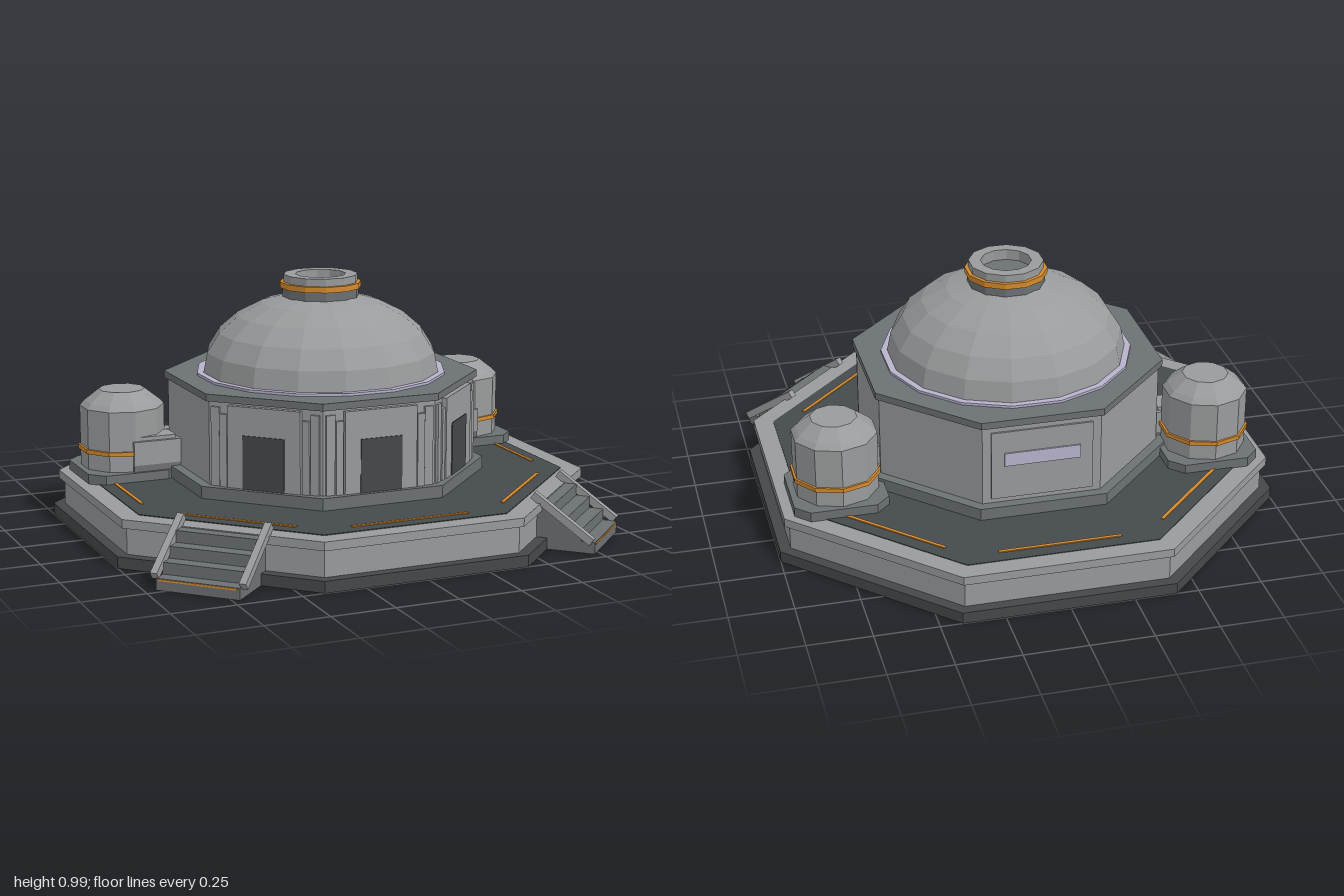
import * as THREE from 'three';

const mat = (name, color) => {
  const m = new THREE.MeshStandardMaterial({ color, flatShading: true });
  m.name = name;
  return m;
};

export function createModel() {
  const light = mat('light grey', 0x999b9c);
  const mid = mat('mid grey', 0x6c7173);
  const deckGrey = mat('deck grey', 0x454b4c);
  const dark = mat('dark grey', 0x454849);
  const doorGrey = mat('door grey', 0x444849);
  const orange = mat('orange', 0xd48a2e);
  const lavender = mat('lavender', 0xb8b3cc);

  const root = new THREE.Group();
  root.name = 'domedStation';

  const add = (parent, name, geo, material, x = 0, y = 0, z = 0) => {
    const m = new THREE.Mesh(geo, material);
    m.name = name;
    m.position.set(x, y, z);
    parent.add(m);
    return m;
  };
  // box given by its limits
  const box = (parent, name, material, x0, x1, y0, y1, z0, z1) =>
    add(parent, name, new THREE.BoxGeometry(x1 - x0, y1 - y0, z1 - z0), material,
      (x0 + x1) / 2, (y0 + y1) / 2, (z0 + z1) / 2);
  // octagonal slab with flat sides facing the axes
  const octagon = (name, material, apothem, y0, y1) => {
    const r = apothem / Math.cos(Math.PI / 8);
    const geo = new THREE.CylinderGeometry(r, r, y1 - y0, 8).rotateY(Math.PI / 8);
    return add(root, name, geo, material, 0, (y0 + y1) / 2, 0);
  };
  const lathe = (parent, name, material, pts, sides, phase = 0) =>
    add(parent, name, new THREE.LatheGeometry(pts.map(p => new THREE.Vector2(...p)), sides, phase), material);
  // group turned so that its +z points out of octagon side k
  const side = (name, k) => {
    const g = new THREE.Group();
    g.name = name;
    g.rotation.y = k * Math.PI / 4;
    root.add(g);
    return g;
  };

  // platform
  octagon('platformFoot', dark, 1.0, 0, 0.045);
  octagon('platformWall', light, 0.957, 0.045, 0.15);
  octagon('platformRim', light, 0.977, 0.15, 0.184);
  octagon('deck', deckGrey, 0.9, 0.17, 0.187);
  for (let k = 0; k < 8; k++)
    box(side('deckMarking', k), 'deckStripe', orange, -0.24, 0.24, 0.184, 0.191, 0.834, 0.848);

  // main building
  octagon('plinth', mid, 0.605, 0.185, 0.235);
  octagon('buildingWall', light, 0.565, 0.235, 0.565);
  octagon('roofSlab', mid, 0.579, 0.565, 0.593);

  // three entrances with frames and stepped pilasters
  for (const k of [-1, 0, 1]) {
    const g = side('entrance', k);
    box(g, 'doorFrame', light, -0.15, 0.15, 0.235, 0.556, 0.55, 0.584);
    box(g, 'door', doorGrey, -0.086, 0.086, 0.235, 0.445, 0.582, 0.588);
    for (const s of [-1, 1]) {
      add(g, 'innerPilaster', new THREE.BoxGeometry(0.03, 0.285, 0.03), light, s * 0.17, 0.3775, 0.565);
      add(g, 'outerPilaster', new THREE.BoxGeometry(0.035, 0.31, 0.03), light, s * 0.205, 0.39, 0.56);
    }
  }

  // rear panel and window
  const rear = side('rearWall', 4);
  box(rear, 'rearPanel', light, -0.2, 0.2, 0.255, 0.54, 0.55, 0.573);
  box(rear, 'rearWindow', lavender, -0.15, 0.15, 0.395, 0.45, 0.572, 0.579);

  // dome and its base ring
  const half = Math.PI / 16;
  add(root, 'domeRing', new THREE.CylinderGeometry(0.5, 0.5, 0.01, 16).rotateY(half), lavender, 0, 0.598, 0);
  const dome = [];
  for (let i = 0; i <= 6; i++) {
    const a = i / 6 * Math.PI / 2;
    dome.push([Math.max(0.475 * Math.cos(a), 0.001), 0.6 + 0.315 * Math.sin(a)]);
  }
  lathe(root, 'dome', light, dome, 16, half);

  // hollow vent on top
  const turn = Math.PI / 12;
  lathe(root, 'ventNeck', mid, [[0.153, 0.87], [0.153, 0.935]], 12, turn);
  lathe(root, 'ventBand', orange,
    [[0.145, 0.932], [0.163, 0.932], [0.163, 0.955], [0.145, 0.955]], 12, turn);
  lathe(root, 'ventCap', light,
    [[0.148, 0.95], [0.148, 0.985], [0.1, 0.985], [0.1, 0.94]], 12, turn);
  add(root, 'ventFloor', new THREE.CylinderGeometry(0.11, 0.11, 0.02, 12).rotateY(turn), mid, 0, 0.932, 0);

  // storage tanks on chamfered pads
  const h = 0.185, c = 0.055;
  const padShape = new THREE.Shape([[h, c - h], [h, h - c], [h - c, h], [c - h, h],
    [-h, h - c], [-h, c - h], [c - h, -h], [h - c, -h]].map(p => new THREE.Vector2(...p)));
  for (const s of [-1, 1]) {
    const tank = new THREE.Group();
    tank.name = s > 0 ? 'leftTank' : 'rightTank';
    tank.position.set(s * 0.75, 0, -0.268);
    root.add(tank);
    const pad = new THREE.ExtrudeGeometry(padShape, { depth: 0.04, bevelEnabled: false }).rotateX(-Math.PI / 2);
    add(tank, 'tankPad', pad, mid, 0, 0.183, 0);
    lathe(tank, 'tankBody', light,
      [[0.168, 0.22], [0.168, 0.465], [0.15, 0.485], [0.092, 0.53], [0.001, 0.53]], 10);
    lathe(tank, 'tankBand', orange,
      [[0.16, 0.288], [0.177, 0.288], [0.177, 0.305], [0.16, 0.305]], 10);
    // duct joining the tank to the building
    const x0 = Math.min(s * 0.56, s * 0.76), x1 = Math.max(s * 0.56, s * 0.76);
    box(root, 'ductFoot', mid, x0, x1, 0.222, 0.25, -0.21, -0.095);
    box(root, 'duct', light, x0, x1, 0.25, 0.345, -0.22, -0.09);
    box(root, 'ductTop', light, x0 + 0.02, x1 - 0.02, 0.345, 0.36, -0.205, -0.105);
  }

  // stairs with sloping side rails
  for (const k of [-1, 1]) {
    const g = side(k > 0 ? 'leftStairs' : 'rightStairs', k);
    for (let i = 0; i < 4; i++) {
      const z1 = 1.188 - i * 0.055;
      box(g, 'step', mid, -0.165, 0.165, 0, 0.045 * (i + 1), i < 3 ? z1 - 0.055 : 0.94, z1);
    }
    box(g, 'stepEdge', orange, -0.155, 0.155, 0.036, 0.043, 1.185, 1.191);
    const z0 = 0.945, z1 = 1.18, y0 = 0.215, y1 = 0.05;
    for (const s of [-1, 1]) {
      const rail = add(g, 'stairRail', new THREE.BoxGeometry(0.028, 0.03, Math.hypot(z1 - z0, y0 - y1)),
        light, s * 0.175, (y0 + y1) / 2, (z0 + z1) / 2);
      rail.rotation.x = Math.atan2(y0 - y1, z1 - z0);
    }
  }
  return root;
}
